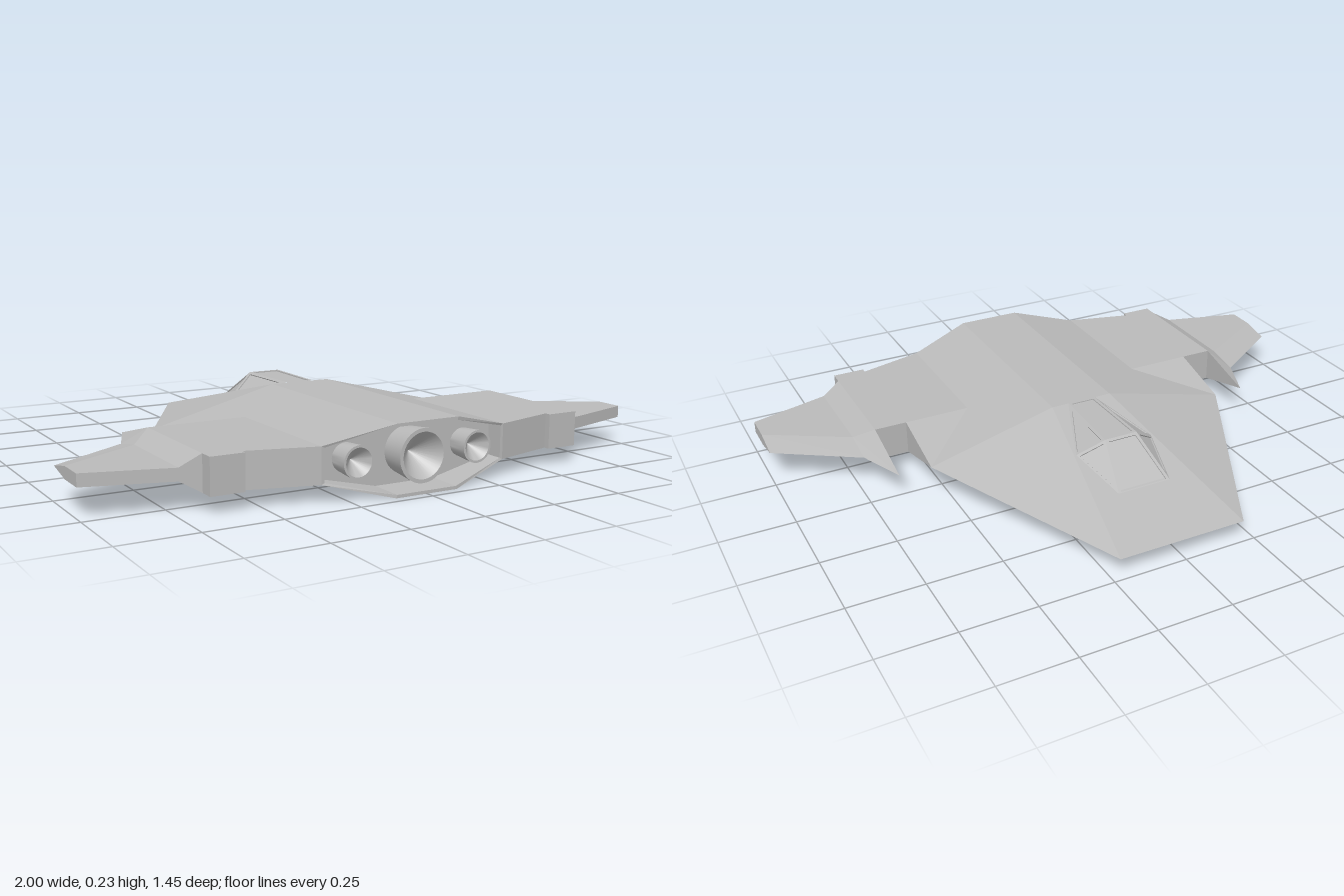
import * as THREE from 'three';
import { toCreasedNormals } from 'three/addons/utils/BufferGeometryUtils.js';

const MID = 0.1125; // height of the hull's central plane

// Flat-shaded mesh from a list of convex polygons
function polyMesh(name, polys, material) {
  const pos = [];
  for (const p of polys)
    for (let i = 1; i < p.length - 1; i++) pos.push(...p[0], ...p[i], ...p[i + 1]);
  const geo = new THREE.BufferGeometry();
  geo.setAttribute('position', new THREE.Float32BufferAttribute(pos, 3));
  geo.computeVertexNormals();
  const mesh = new THREE.Mesh(geo, material);
  mesh.name = name;
  return mesh;
}

const mirrorX = (poly) => poly.map(([x, y, z]) => [-x, y, z]).reverse();
const bothSides = (polys) => polys.flatMap((p) => [p, mirrorX(p)]);

// Hull outline points: x, half thickness, z
const H = {
  M: [0, 0, -0.73], N: [0.22, 0, -0.73],
  D: [0, 0.1125, -0.06], A: [0.11, 0.1125, -0.06], E: [0.555, 0, -0.06],
  S: [0.33, 0.0575, 0.165], T: [0.555, 0.0575, 0.165], U: [0.665, 0.0575, 0.165],
  P: [0.665, 0, -0.06], Q: [0.73, 0, 0.1], W: [0.73, 0.02, 0.215],
  V: [1, 0.02, 0.375], L: [1, 0, 0.275], X: [1, 0.02, 0.475],
  Y: [0.73, 0.02, 0.552], Z: [0.665, 0.0575, 0.57], G: [0.555, 0.0575, 0.6],
  B: [0.33, 0.0575, 0.66], C: [0.11, 0.1125, 0.72], O: [0, 0.1125, 0.72],
};
function hullPoint(key, side) {
  const [x, h, z] = H[key];
  return [x, z < -0.7 ? 0.06 : MID + side * h, z]; // the nose edge droops
}

function hullPolys(decks, walls) {
  const polys = [];
  for (const d of decks) {
    polys.push([...d].map((k) => hullPoint(k, 1)));
    polys.push([...d].map((k) => hullPoint(k, -1)).reverse());
  }
  for (const [a, b] of walls)
    polys.push([hullPoint(a, 1), hullPoint(a, -1), hullPoint(b, -1), hullPoint(b, 1)]);
  return bothSides(polys);
}

// Eight-sided loop around the engine bay, counter-clockwise from the front
function bayLoop(sx, sy, depth) {
  const c = H.C, b = H.B;
  const quarter = [[b[0], b[1], b[2]], [c[0], c[1], c[2]]];
  const upper = [...quarter, ...quarter.map(([x, h, z]) => [-x, h, z]).reverse()];
  const lower = upper.map(([x, h, z]) => [-x, -h, z]);
  return [...upper, ...lower].map(([x, h, z]) => [x * sx, MID + h * sy, depth ?? z]);
}
const band = (a, b) => a.map((p, i) => {
  const j = (i + 1) % a.length;
  return [p, a[j], b[j], b[i]];
});

// Window: raised frame around a pane inset by d and sunk by s
function windowPolys(poly, d, s) {
  const v = poly.map((p) => new THREE.Vector3(...p));
  const n = v.length;
  const normal = v[1].clone().sub(v[0]).cross(v[2].clone().sub(v[0])).normalize();
  const inner = v.map((p, i) => {
    const u = v[(i + 1) % n].clone().sub(p).normalize();
    const w = v[(i + n - 1) % n].clone().sub(p).normalize();
    const k = d / u.clone().cross(w).length();
    return p.clone().add(u.add(w).multiplyScalar(k));
  });
  const rim = inner.map((p) => p.toArray());
  const pane = inner.map((p) => p.clone().addScaledVector(normal, -s).toArray());
  return { frame: [...band(poly, rim), ...band(rim, pane)], pane };
}

// Engine bell with a hollow cone inside
function nozzle(name, x, r, length, material) {
  const profile = [[0.88 * r, 0], [r, length], [0.86 * r, length], [0, length - r]]
    .map(([a, b]) => new THREE.Vector2(a, b));
  const geo = toCreasedNormals(new THREE.LatheGeometry(profile, 32), 0.5);
  const mesh = new THREE.Mesh(geo, material);
  mesh.name = name;
  mesh.rotation.x = Math.PI / 2;
  mesh.position.set(x, MID, 0.6);
  return mesh;
}

export function createModel() {
  const grey = new THREE.MeshStandardMaterial({ color: 0xbababa });
  grey.name = 'hullGrey';
  const model = new THREE.Group();
  model.name = 'spacecraft';

  // Faceted body and swept wings
  model.add(polyMesh('hull', hullPolys(
    ['MDAN', 'NAE', 'ASE', 'STE', 'DOCA', 'ACBS', 'SBGT', 'TGZU'],
    ['BG', 'GZ', 'UT', 'TE']), grey));
  model.add(polyMesh('wings', hullPolys(
    ['UZYW', 'PUWQ', 'QWVL', 'WYXV'],
    ['ZY', 'YX', 'XV', 'VL', 'PU']), grey));

  // Blocks at the wing roots
  for (const s of [-1, 1]) {
    const block = new THREE.Mesh(new THREE.BoxGeometry(0.11, 0.115, 0.055), grey);
    block.name = s > 0 ? 'leftWingBlock' : 'rightWingBlock';
    block.position.set(s * 0.61, MID, 0.5925);
    model.add(block);
  }

  // Recessed engine bay with a thin lip
  const outer = bayLoop(1, 1), lip = bayLoop(0.97, 0.91), back = bayLoop(0.97, 0.91, 0.6);
  model.add(polyMesh('engineBay', [...band(outer, lip), ...band(lip, back), back], grey));

  // Three engine bells
  model.add(nozzle('mainNozzle', 0, 0.085, 0.1, grey));
  model.add(nozzle('leftNozzle', 0.215, 0.052, 0.08, grey));
  model.add(nozzle('rightNozzle', -0.215, 0.052, 0.08, grey));

  // Canopy: frames with sunken panes
  const R = [0.05, 0.226, -0.06], K = [0.058, 0.225, -0.335];
  const J = [0.145, 0.165, -0.29], F = [0.095, 0.115, -0.497];
  const flip = ([x, y, z]) => [-x, y, z];
  const windows = [
    [flip(K), flip(R), R, K],
    [flip(F), flip(K), K, F],
    ...bothSides([[K, R, J], [F, K, J]]),
  ].map((p) => windowPolys(p, 0.01, 0.004));
  model.add(polyMesh('canopyFrame', windows.flatMap((w) => w.frame), grey));
  model.add(polyMesh('canopyPanes', windows.map((w) => w.pane), grey));

  return model;
}
